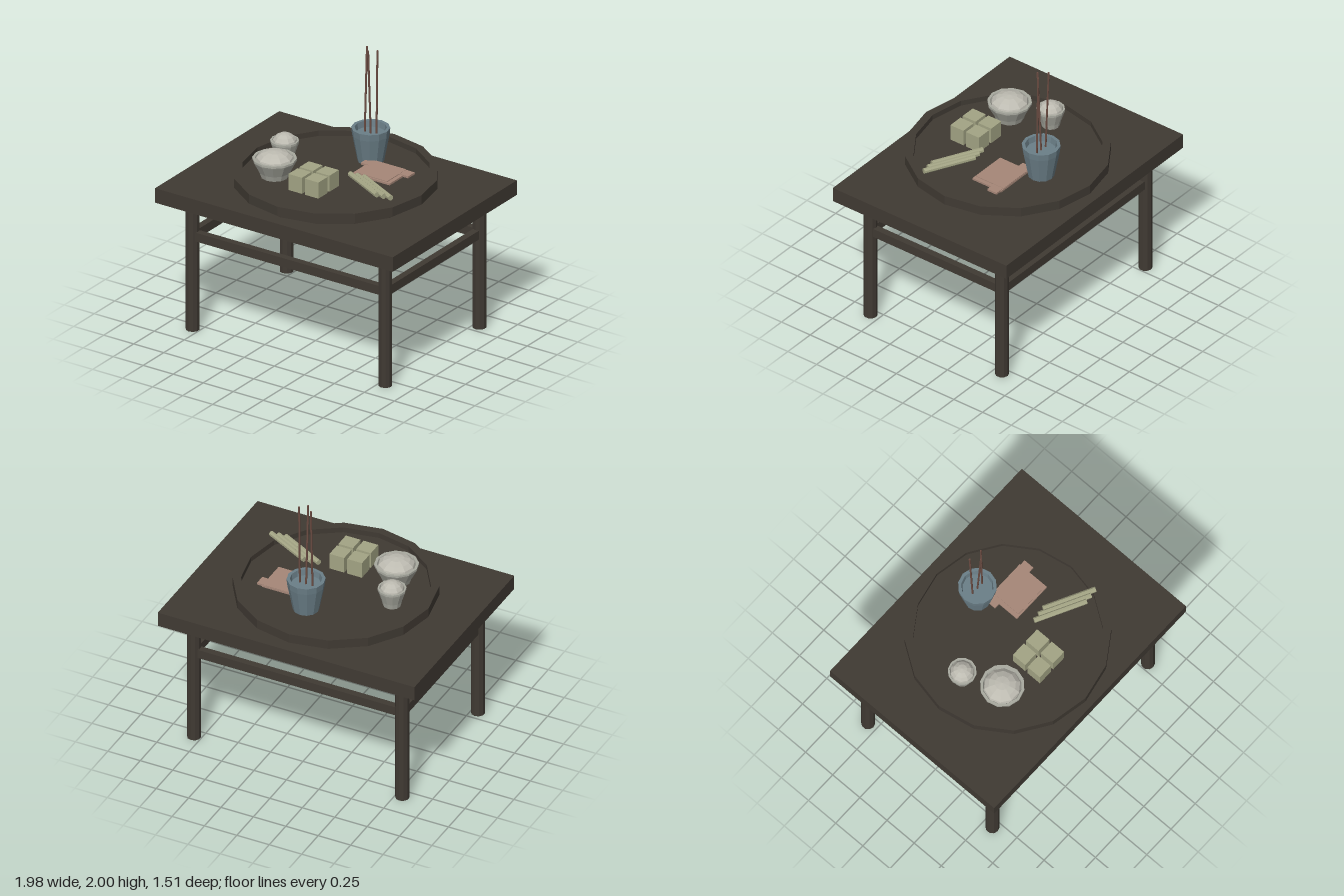
import * as THREE from 'three';

const mat = (name, color, side = THREE.FrontSide) => {
  const m = new THREE.MeshStandardMaterial({ color, flatShading: true, side });
  m.name = name;
  return m;
};

export function createModel() {
  const root = new THREE.Group();
  root.name = 'offeringTable';
  const wood = mat('dark wood', 0x403a33);
  const glaze = mat('blue grey glaze', 0x6b7f88, THREE.DoubleSide);
  const china = mat('pale china', 0xa9aaa0, THREE.DoubleSide);
  const rice = mat('rice', 0xbdbbb1);
  const cake = mat('green cake', 0xa3a484);
  const paper = mat('pink paper', 0xa68778);
  const incense = mat('incense brown', 0x6b4c42);

  const add = (name, geometry, material, x = 0, y = 0, z = 0, parent = root) => {
    const mesh = new THREE.Mesh(geometry, material);
    mesh.name = name;
    mesh.position.set(x, y, z);
    parent.add(mesh);
    return mesh;
  };
  const box = (name, material, x, z, y0, y1, w, d) =>
    add(name, new THREE.BoxGeometry(w, y1 - y0, d), material, x, (y0 + y1) / 2, z);
  const lathe = (pts, n) =>
    new THREE.LatheGeometry(pts.map(p => new THREE.Vector2(...p)), n);
  // Thin rod between two points
  const rod = (name, a, b, r, n, material) => {
    const p = new THREE.Vector3(...a), q = new THREE.Vector3(...b);
    const dir = q.clone().sub(p);
    const mesh = add(name, new THREE.CylinderGeometry(r, r, dir.length(), n), material);
    mesh.position.copy(p).add(q).multiplyScalar(0.5);
    mesh.quaternion.setFromUnitVectors(new THREE.Vector3(0, 1, 0), dir.normalize());
  };

  // Table
  box('tableTop', wood, 0, 0, 0.98, 1.09, 1.98, 1.51);
  for (const s of [-1, 1]) {
    for (const t of [-1, 1]) {
      add('leg', new THREE.CylinderGeometry(0.049, 0.049, 0.98, 10), wood, s * 0.803, 0.49, t * 0.572);
    }
    box('longStretcher', wood, 0, s * 0.572, 0.685, 0.752, 1.6, 0.05);
    box('sideStretcher', wood, s * 0.803, 0, 0.685, 0.752, 0.05, 1.14);
  }

  // Round tray with raised rim
  add('trayBase', new THREE.CylinderGeometry(0.675, 0.675, 0.055, 16), wood, 0, 1.1275, 0);
  add('trayRim', lathe([[0.655, 1.125], [0.713, 1.125], [0.713, 1.195], [0.655, 1.195], [0.655, 1.125]], 16), wood);

  // Incense pot, with ash and sticks
  add('incensePot', lathe([[0, 1.16], [0.092, 1.16], [0.13, 1.36], [0.135, 1.41], [0.112, 1.41], [0.105, 1.365], [0, 1.365]], 12),
    glaze, 0.06, 0, -0.335);
  [[0.01, -0.362], [0.06, -0.303], [0.108, -0.346]].forEach(([x, z]) =>
    rod('incenseStick', [x, 1.36, -0.335], [x, 2, z], 0.007, 6, incense));

  // Bowls heaped with rice
  const bowl = (x, z, r) => {
    const g = new THREE.Group();
    g.name = 'riceBowl';
    g.position.set(x, 0, z);
    root.add(g);
    add('bowl', lathe([[0, 1.16], [r * 0.63, 1.16], [r * 0.72, 1.2], [r * 0.97, 1.275], [r, 1.285], [r, 1.3], [r * 0.88, 1.3], [r * 0.8, 1.27]], 12),
      china, 0, 0, 0, g);
    const heap = add('rice', new THREE.SphereGeometry(1, 10, 4, 0, Math.PI * 2, 0, Math.PI / 2), rice, 0, 1.275, 0, g);
    heap.scale.set(r * 0.88, 0.078, r * 0.88);
  };
  bowl(-0.34, 0.25, 0.155);
  bowl(-0.445, -0.025, 0.1);

  // Four square cakes
  for (const x of [-0.065, 0.072]) {
    for (const z of [0.21, 0.345]) box('cake', cake, x, z, 1.17, 1.292, 0.113, 0.113);
  }

  // Bundle of three short rods
  for (let i = 0; i < 3; i++) {
    const x = 0.175 + i * 0.053, z = 0.083 - i * 0.006;
    rod('bundleRod', [x, 1.248, z], [x + 0.345, 1.248, z + 0.177], 0.02, 8, cake);
  }

  // Folded paper garment
  box('paperBody', paper, 0.275, -0.15, 1.185, 1.199, 0.31, 0.25);
  box('paperSleeves', paper, 0.275, -0.228, 1.187, 1.202, 0.395, 0.08);
  box('paperFold', paper, 0.275, -0.155, 1.187, 1.204, 0.25, 0.235);

  return root;
}
